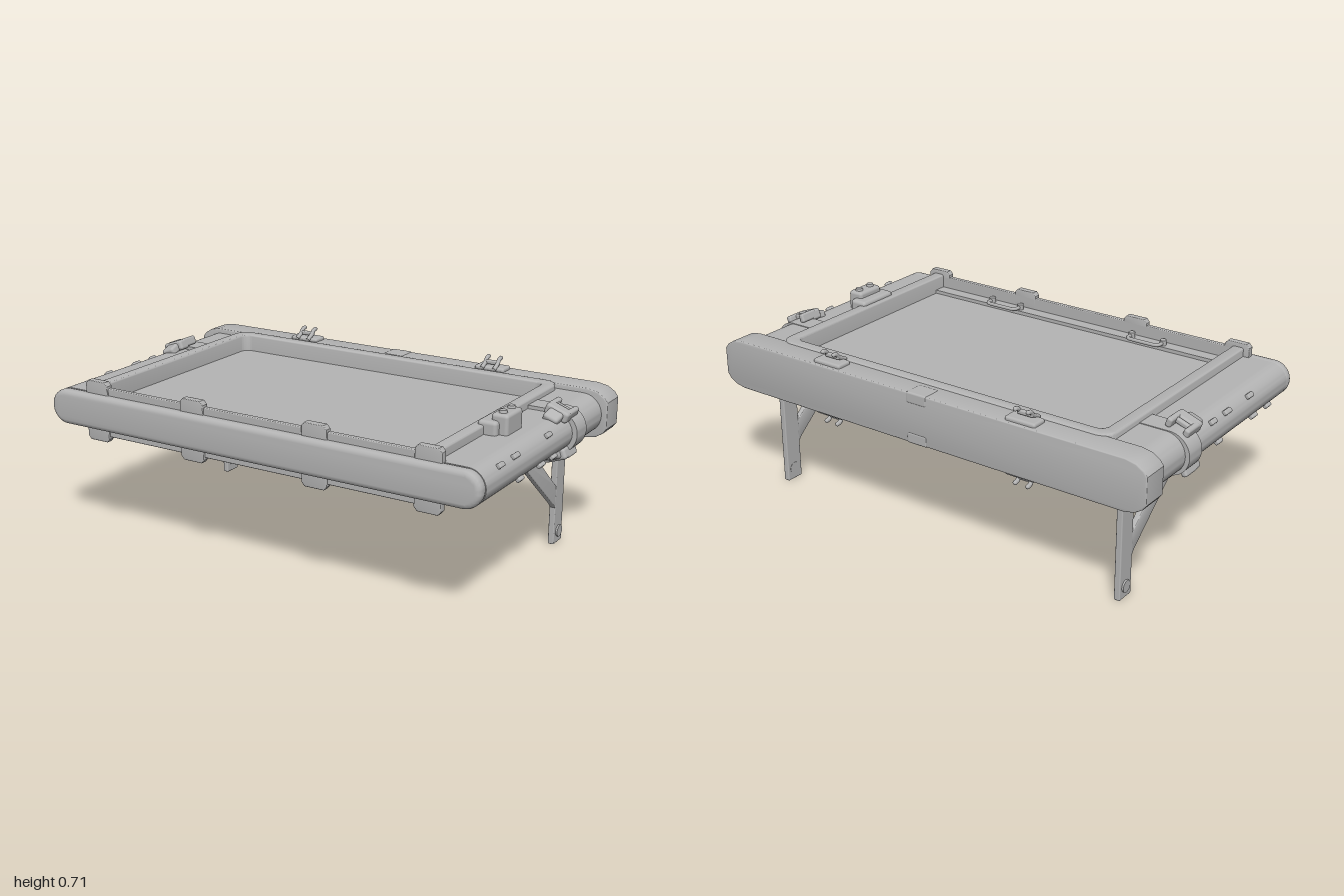
import * as THREE from 'three';
import { RoundedBoxGeometry } from 'three/addons/geometries/RoundedBoxGeometry.js';
import { toCreasedNormals } from 'three/addons/utils/BufferGeometryUtils.js';

const grey = new THREE.MeshStandardMaterial({ color: 0xb4b4b4 });
grey.name = 'plainGrey';
const CY = 0.555; // mid height of the case

function add(parent, name, geo, x = 0, y = 0, z = 0) {
  const m = new THREE.Mesh(geo, grey);
  m.name = name;
  m.position.set(x, y, z);
  parent.add(m);
  return m;
}

// box given by its min and max corners
function span(parent, name, a, b, r = 0) {
  const s = a.map((v, i) => b[i] - v);
  const geo = r ? new RoundedBoxGeometry(...s, 2, r) : new THREE.BoxGeometry(...s);
  return add(parent, name, geo, ...a.map((v, i) => (v + b[i]) / 2));
}

function extrude(shape, depth, bevel = 0) {
  const g = new THREE.ExtrudeGeometry(shape, {
    depth: depth - 2 * bevel, bevelEnabled: bevel > 0, bevelSize: bevel,
    bevelThickness: bevel, bevelOffset: -bevel, bevelSegments: 3, curveSegments: 14,
  });
  g.translate(0, 0, bevel);
  return toCreasedNormals(g, 0.6);
}

// side beam with a half-round outer edge, running along z
function sideBeam(parent, name, side, h, xEnd, z0, z1) {
  const s = new THREE.Shape();
  s.moveTo(0.75, -h);
  s.lineTo(xEnd - h, -h);
  s.absarc(xEnd - h, 0, h, -Math.PI / 2, Math.PI / 2, false);
  s.lineTo(0.75, h);
  const m = add(parent, name, extrude(s, z1 - z0), 0, 0, side > 0 ? z0 : z1);
  if (side < 0) m.rotation.y = Math.PI;
}

function buildCase(g) {
  for (const s of [1, -1]) {
    sideBeam(g, 'sideBeam', s, 0.072, 0.975, -0.2, 0.54);
    sideBeam(g, 'neck', s, 0.083, 0.977, -0.48, -0.27);
    sideBeam(g, 'clampBand', s, 0.086, 0.995, -0.28, -0.19);
  }
  // rounded front bar
  const bar = new THREE.Shape();
  bar.absarc(0.903, 0, 0.072, -Math.PI / 2, Math.PI / 2, false);
  bar.absarc(-0.903, 0, 0.072, Math.PI / 2, Math.PI * 1.5, false);
  add(g, 'frontBar', extrude(bar, 0.055, 0.02), 0, 0, 0.53);

  // chamfered rear cap
  const corner = [[1, 0.055], [0.985, 0.075], [0.955, 0.094], [0.91, 0.103]];
  const loop = [
    ...corner.map(([x, y]) => [x, -y]).reverse().map(([x, y]) => [x, y]),
    ...corner,
    ...corner.map(([x, y]) => [-x, y]).reverse(),
    ...corner.map(([x, y]) => [-x, -y]),
  ];
  const cap = new THREE.Shape(loop.map(([x, y]) => new THREE.Vector2(x, y)));
  add(g, 'rearCap', extrude(cap, 0.115, 0.005), 0, 0, -0.587);

  // U-shaped window frame, rounded at the back
  const u = new THREE.Shape();
  u.moveTo(0.785, 0.54);
  u.lineTo(0.785, -0.43);
  u.absarc(0.725, -0.43, 0.06, 0, -Math.PI / 2, true);
  u.absarc(-0.725, -0.43, 0.06, -Math.PI / 2, -Math.PI, true);
  u.lineTo(-0.785, 0.54);
  u.lineTo(-0.735, 0.54);
  u.lineTo(-0.735, -0.405);
  u.absarc(-0.7, -0.405, 0.035, Math.PI, Math.PI * 1.5, false);
  u.absarc(0.7, -0.405, 0.035, -Math.PI / 2, 0, false);
  u.lineTo(0.735, 0.54);
  const frame = add(g, 'windowFrame', extrude(u, 0.216, 0.008), 0, 0.108, 0);
  frame.rotation.x = Math.PI / 2;

  span(g, 'panel', [-0.75, -0.035, -0.45], [0.75, 0.035, 0.53]);
  span(g, 'panelLedge', [-0.74, -0.05, 0.47], [0.74, 0.05, 0.53]);
  span(g, 'frontRail', [-0.8, -0.102, 0.525], [0.8, 0.1, 0.548], 0.004);

  // flat pull handles lying on the panel
  for (const s of [1, -1]) {
    const pts = [[-0.075, 0.495], [-0.075, 0.465], [-0.06, 0.45], [0.06, 0.45], [0.075, 0.465], [0.075, 0.495]];
    const path = new THREE.CatmullRomCurve3(
      pts.map(([x, z]) => new THREE.Vector3(x + s * 0.36, 0.06, z)), false, 'catmullrom', 0.2);
    add(g, 'pullHandle', new THREE.TubeGeometry(path, 30, 0.008, 8));
    for (const e of [1, -1]) {
      add(g, 'handleFoot', new THREE.CylinderGeometry(0.014, 0.014, 0.045, 16), s * 0.36 + e * 0.075, 0.05, 0.495);
    }
  }
}

// fittings repeated on the top and, turned half round, on the underside
function buildFittings(g) {
  // tabs on the front rail
  const tab = new THREE.Shape();
  [[-0.055, 0], [0.055, 0], [0.055, 0.07], [0.042, 0.085], [-0.042, 0.085], [-0.055, 0.07]]
    .forEach(([x, y], i) => (i ? tab.lineTo(x, y) : tab.moveTo(x, y)));
  for (const x of [-0.755, -0.28, 0.28, 0.755]) {
    add(g, 'railTab', extrude(tab, 0.03, 0.003), x, 0.04, 0.525);
  }

  span(g, 'capTab', [-0.047, 0.06, -0.589], [0.047, 0.106, -0.505], 0.008);

  // hooks on the rear cap
  for (const s of [1, -1]) {
    const x = s * 0.46;
    span(g, 'hookBase', [x - 0.067, 0.09, -0.572], [x + 0.067, 0.118, -0.502], 0.01);
    for (const e of [1, -1]) {
      const path = new THREE.CatmullRomCurve3([[0.11, -0.555], [0.12, -0.535], [0.13, -0.518], [0.145, -0.505], [0.148, -0.49]]
        .map(([y, z]) => new THREE.Vector3(x + e * 0.028, y, -1.045 - z)));
      add(g, 'hookProng', new THREE.TubeGeometry(path, 12, 0.009, 8));
      add(g, 'hookTip', new THREE.SphereGeometry(0.009, 10, 8), x + e * 0.028, 0.148, -0.555);
    }
    span(g, 'hookBar', [x - 0.035, 0.122, -0.54], [x + 0.035, 0.14, -0.522], 0.006);
  }

  // corner latches clamped over the band
  for (const s of [1, -1]) {
    const latch = new THREE.Group();
    latch.name = 'cornerLatch';
    latch.position.set(s * 0.92, 0.083, -0.17);
    latch.rotation.z = -s * 0.35;
    g.add(latch);
    span(latch, 'latchBody', [-0.05, -0.02, -0.03], [0.05, 0.025, 0.025], 0.012);
    span(latch, 'latchLever', [-0.032, -0.025, 0.0], [0.032, 0.012, 0.07], 0.012).rotation.x = 0.3;
    span(latch, 'latchBridge', [-0.045, 0.0, -0.05], [0.045, 0.022, -0.03], 0.008);
    for (const e of [1, -1]) {
      span(latch, 'latchProng', [e * 0.038 - 0.012, -0.012, -0.085], [e * 0.038 + 0.012, 0.026, 0], 0.009);
    }
  }

  // switch box beside the window
  span(g, 'switchPlate', [0.755, 0.06, 0], [0.835, 0.125, 0.19], 0.015);
  span(g, 'switchBox', [0.798, 0.05, 0.03], [0.868, 0.15, 0.163], 0.014);
  for (const z of [0.06, 0.13]) {
    add(g, 'switchButton', new THREE.CylinderGeometry(0.014, 0.019, 0.02, 16), 0.833, 0.15, z);
  }

  // small studs along the rounded sides
  const studs = (side, list) => list.forEach(([z, w]) => {
    const m = add(g, 'sideStud', new RoundedBoxGeometry(0.03, 0.02, w, 2, 0.006), side * 0.957, 0.047, z);
    m.rotation.z = side * 0.7;
  });
  studs(1, [[0.405, 0.04], [0.285, 0.045], [0.005, 0.04]]);
  studs(-1, [[0.24, 0.042], [0.06, 0.048], [-0.05, 0.04]]);
}

// folding leg with diagonal brace
function buildLeg(root, s) {
  const leg = new THREE.Group();
  leg.name = 'leg';
  root.add(leg);
  span(leg, 'legPost', [s * 0.825 - 0.013, 0, -0.465], [s * 0.825 + 0.013, 0.5, -0.385], 0.005);
  const b = new THREE.Shape(); // shape x stands for -z
  [[0.01, 0.485], [0.03, 0.46], [0.37, 0.18], [0.395, 0.15], [0.395, 0.25], [0.37, 0.27], [0.17, 0.445], [0.14, 0.485]]
    .forEach(([x, y], i) => (i ? b.lineTo(x, y) : b.moveTo(x, y)));
  const brace = add(leg, 'legBrace', extrude(b, 0.024, 0.003), s * 0.825 - 0.012, 0, 0);
  brace.rotation.y = Math.PI / 2;
  const bolt = add(leg, 'legBolt', new THREE.CylinderGeometry(0.025, 0.025, 0.034, 24), s * 0.828, 0.05, -0.427);
  bolt.rotation.z = Math.PI / 2;
}

export function createModel() {
  const root = new THREE.Group();
  root.name = 'foldingCase';
  const body = new THREE.Group();
  body.name = 'case';
  body.position.y = CY;
  root.add(body);
  buildCase(body);
  for (const [name, turn] of [['topFittings', 0], ['undersideFittings', Math.PI]]) {
    const f = new THREE.Group();
    f.name = name;
    f.rotation.z = turn;
    body.add(f);
    buildFittings(f);
  }
  for (const s of [1, -1]) buildLeg(root, s);
  return root;
}
